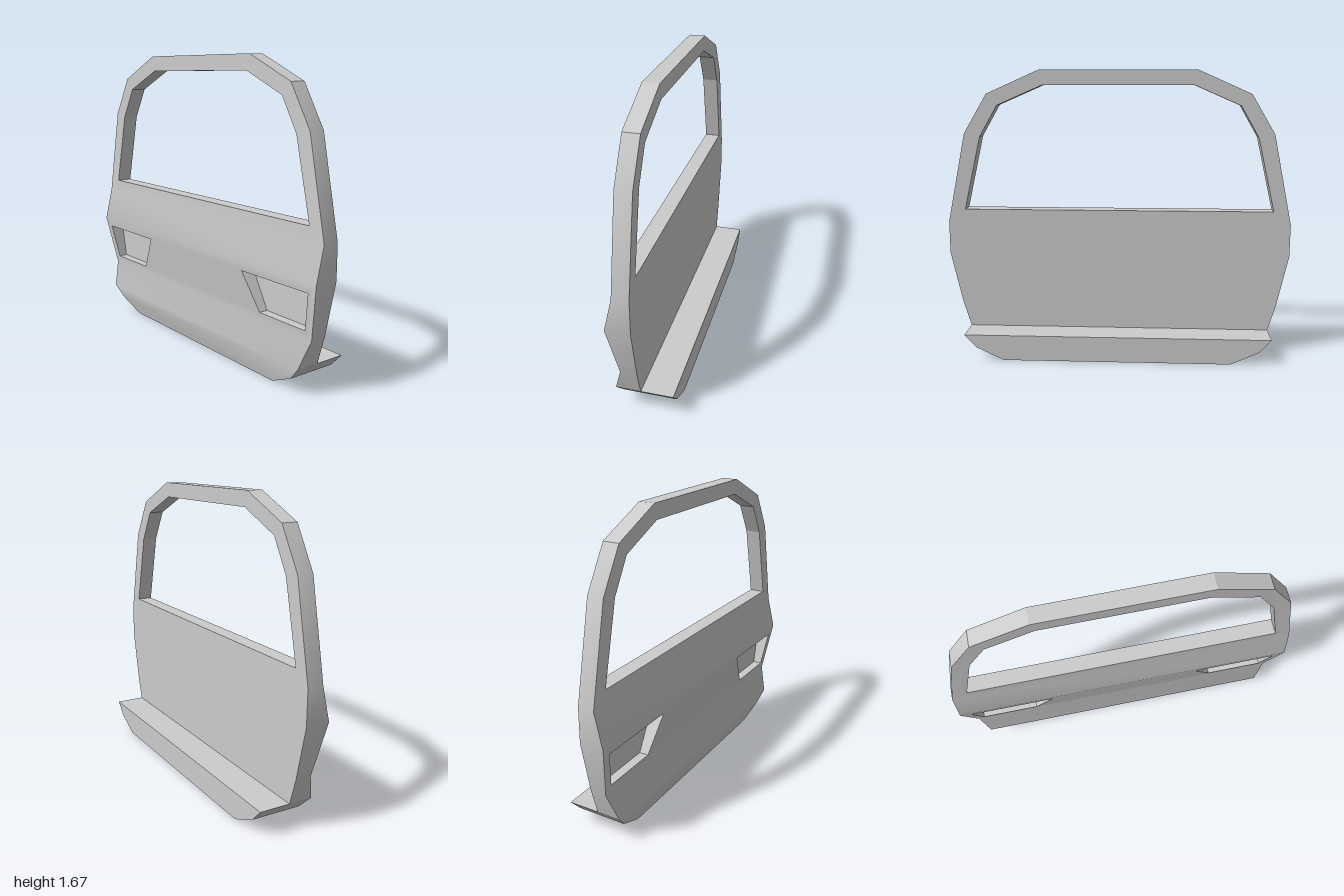
import * as THREE from 'three';
import { mergeGeometries, toCreasedNormals } from 'three/addons/utils/BufferGeometryUtils.js';

const BACK = 0.02;      // plane of the inner panel
const RECESS = 0.065;   // floor of the lamp recesses
const LEDGE = -0.155;   // rear end of the bottom ledge

// right half of the outline, bottom to top
const SIDE = [[0.66, 0], [0.82, 0.075], [0.89, 0.15], [0.935, 0.3], [1, 0.6], [1, 0.79],
  [0.89, 1.31], [0.755, 1.535], [0.45, 1.67]];
const WINDOW = [[0.9, 0.865], [0.8, 1.29], [0.695, 1.47], [0.43, 1.585]];
const LAMP = [[0.445, 0.55], [0.56, 0.345], [0.895, 0.345], [0.94, 0.55]];

// depth of the outer skin by height
const LEVELS = [[0, 0.11], [0.15, 0.155], [0.3, 0.11], [0.6, 0.155], [0.79, 0.11], [1.67, 0.11]];
function skinZ(y) {
  for (let i = 1; i < LEVELS.length; i++) {
    const [y0, z0] = LEVELS[i - 1], [y1, z1] = LEVELS[i];
    if (y <= y1 + 1e-6) return z0 + (z1 - z0) * (y - y0) / (y1 - y0);
  }
  return 0.11;
}

const mirror = (pts) => pts.map(([x, y]) => [-x, y]).reverse();
const closed = (half) => [...half, ...mirror(half)];
const between = (y0, y1) => closed(SIDE.filter(([, y]) => y >= y0 - 1e-6 && y <= y1 + 1e-6));

function toShape(pts, holes = []) {
  const v = (list) => list.map(([x, y]) => new THREE.Vector2(x, y));
  const shape = new THREE.Shape(v(pts));
  holes.forEach((h) => shape.holes.push(new THREE.Path(v(h))));
  return shape;
}

// flat face with its depth set by a rule of height
function face(pts, holes, zAt) {
  const g = new THREE.ShapeGeometry(toShape(pts, holes)).toNonIndexed();
  g.deleteAttribute('uv');
  const p = g.attributes.position;
  for (let i = 0; i < p.count; i++) p.setZ(i, zAt(p.getY(i)));
  return g;
}

// wall around a closed loop from the skin back to depth z
function wall(pts, z) {
  const pos = [];
  pts.forEach((a, i) => {
    const b = pts[(i + 1) % pts.length];
    const aF = [...a, skinZ(a[1])], aB = [...a, z], bF = [...b, skinZ(b[1])], bB = [...b, z];
    pos.push(...aF, ...aB, ...bB, ...aF, ...bB, ...bF);
  });
  const g = new THREE.BufferGeometry();
  g.setAttribute('position', new THREE.Float32BufferAttribute(pos, 3));
  g.computeVertexNormals();
  return g;
}

export function createModel() {
  const group = new THREE.Group();
  const material = new THREE.MeshStandardMaterial({ color: 0xcccccc });
  const add = (name, geometry) => {
    const mesh = new THREE.Mesh(geometry, material);
    mesh.name = name;
    group.add(mesh);
  };

  const windowLoop = closed(WINDOW);
  const lamps = { leftLampRecess: LAMP, rightLampRecess: mirror(LAMP) };

  // outer skin: one planar band between each pair of levels, smoothed together
  const bands = LEVELS.slice(1).map(([y1], i) => {
    const holes = i === 2 ? Object.values(lamps) : i === 4 ? [windowLoop] : [];
    return face(between(LEVELS[i][0], y1), holes, skinZ);
  });
  add('outerSkin', toCreasedNormals(mergeGeometries(bands), 0.7));

  // outer rim and window opening
  add('outerRim', toCreasedNormals(wall(closed(SIDE), BACK), 0.35));
  add('windowReveal', wall([...windowLoop].reverse(), BACK));

  // flat inner panel, turned to face the rear
  const inner = face(between(0.15, 1.67), [windowLoop], () => 0);
  inner.rotateY(Math.PI).translate(0, 0, BACK);
  add('innerPanel', inner);

  // lamp recesses: side walls and floor
  for (const [name, loop] of Object.entries(lamps)) {
    add(name, mergeGeometries([wall([...loop].reverse(), RECESS), face(loop, [], () => RECESS)]));
  }

  // ledge along the bottom rear
  const ledge = new THREE.ExtrudeGeometry(toShape(between(0, 0.15)), { depth: BACK - LEDGE, bevelEnabled: false });
  ledge.translate(0, 0, LEDGE);
  add('bottomLedge', ledge);

  return group;
}
